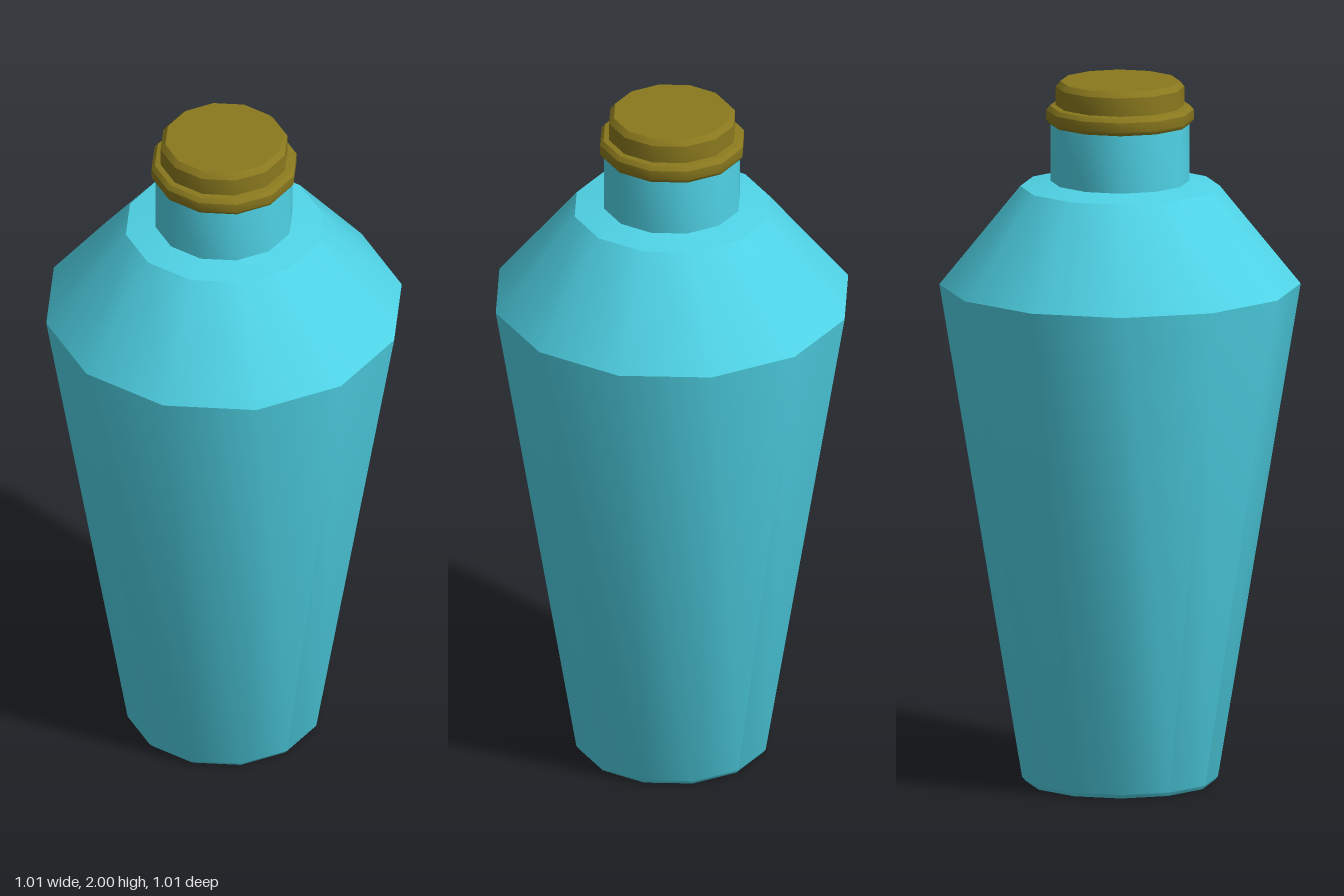
import * as THREE from 'three';
import { toCreasedNormals } from 'three/addons/utils/BufferGeometryUtils.js';

const SIDES = 12;

// Twelve-sided turned part: smooth around, sharp between rings
function turned(name, profile, color) {
  const points = profile.map(([r, y]) => new THREE.Vector2(r, y));
  const geometry = toCreasedNormals(new THREE.LatheGeometry(points, SIDES), 0.6);
  const mesh = new THREE.Mesh(geometry, new THREE.MeshStandardMaterial({ color }));
  mesh.name = name;
  return mesh;
}

export function createModel() {
  const model = new THREE.Group();
  model.name = 'bottle';

  // Tapered body, sloping shoulder and straight neck
  model.add(turned('body', [
    [0, 0], [0.265, 0], [0.275, 0.012],
    [0.507, 1.42],
    [0.28, 1.7], [0.195, 1.715],
    [0.195, 1.89],
  ], 0x4fd3e6));

  // Flanged stopper with a bevelled top
  model.add(turned('cap', [
    [0, 1.88], [0.2, 1.88], [0.207, 1.89], [0.207, 1.918],
    [0.197, 1.93], [0.181, 1.932],
    [0.181, 1.984], [0.167, 2], [0, 2],
  ], 0x8a791e));

  return model;
}
